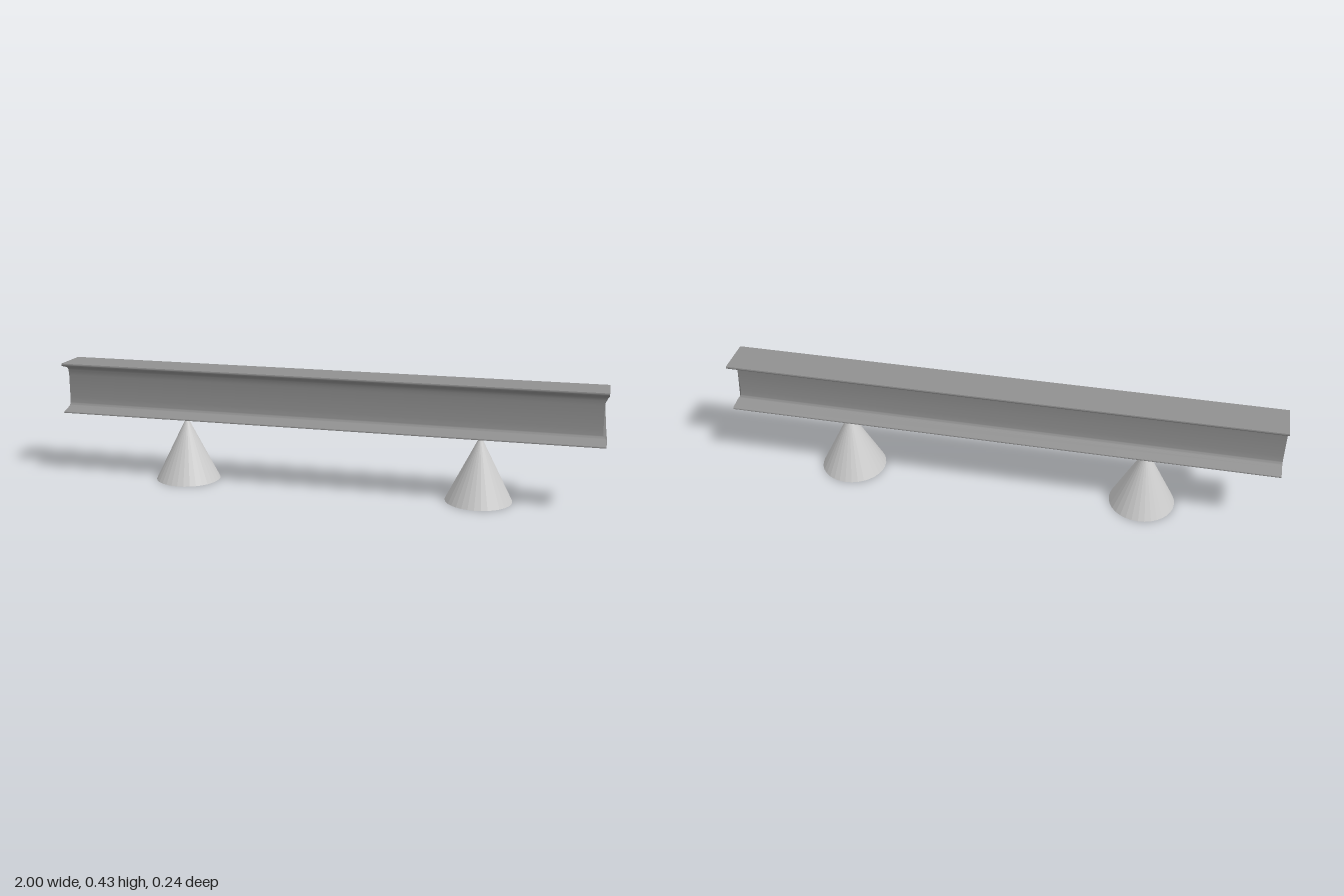
import * as THREE from 'three';
import { toCreasedNormals } from 'three/addons/utils/BufferGeometryUtils.js';

const BASE = 0.24, TOP = 0.43, LENGTH = 2;

// One side of the I-section, from bottom centre line to top centre line.
function halfProfile() {
  const path = new THREE.Path();
  path.moveTo(0, BASE);
  path.lineTo(0.069, BASE);
  path.quadraticCurveTo(0.071, 0.246, 0.064, 0.247);
  path.lineTo(0.03, 0.255);
  path.quadraticCurveTo(0.014, 0.26, 0.014, 0.275);
  path.lineTo(0.0125, 0.29);
  path.lineTo(0.0125, 0.375);
  path.lineTo(0.015, 0.392);
  path.quadraticCurveTo(0.017, 0.406, 0.032, 0.41);
  path.lineTo(0.062, 0.419);
  path.quadraticCurveTo(0.07, 0.42, 0.07, 0.426);
  path.lineTo(0.069, TOP);
  path.lineTo(0, TOP);
  return path.getPoints(6);
}

function createBeam(material) {
  const half = halfProfile();
  const mirrored = half.slice(1, -1).reverse().map((p) => new THREE.Vector2(-p.x, p.y));
  const geometry = new THREE.ExtrudeGeometry(new THREE.Shape([...half, ...mirrored]), {
    depth: LENGTH, bevelEnabled: false,
  });
  geometry.translate(0, 0, -LENGTH / 2).rotateY(Math.PI / 2);

  // The web is cut slightly short of the flanges at the left end.
  const pos = geometry.attributes.position;
  for (let i = 0; i < pos.count; i++) {
    if (pos.getX(i) < 0) continue;
    const y = pos.getY(i);
    const web = THREE.MathUtils.smoothstep(y, 0.25, 0.275) *
      (1 - THREE.MathUtils.smoothstep(y, 0.385, 0.415));
    pos.setX(i, LENGTH / 2 - 0.014 * web);
  }
  const beam = new THREE.Mesh(toCreasedNormals(geometry, 0.6), material);
  beam.name = 'beam';
  return beam;
}

export function createModel() {
  const model = new THREE.Group();
  model.name = 'beamOnSupports';
  const steel = new THREE.MeshStandardMaterial({ color: 0x909090 });
  const grey = new THREE.MeshStandardMaterial({ color: 0xcccccc, flatShading: true });

  model.add(createBeam(steel));

  // Conical supports whose tips touch the underside of the beam
  const cone = new THREE.ConeGeometry(0.12, BASE, 32);
  for (const [name, x] of [['rightSupport', -0.53], ['leftSupport', 0.57]]) {
    const support = new THREE.Mesh(cone, grey);
    support.name = name;
    support.position.set(x, BASE / 2, 0);
    model.add(support);
  }
  return model;
}
